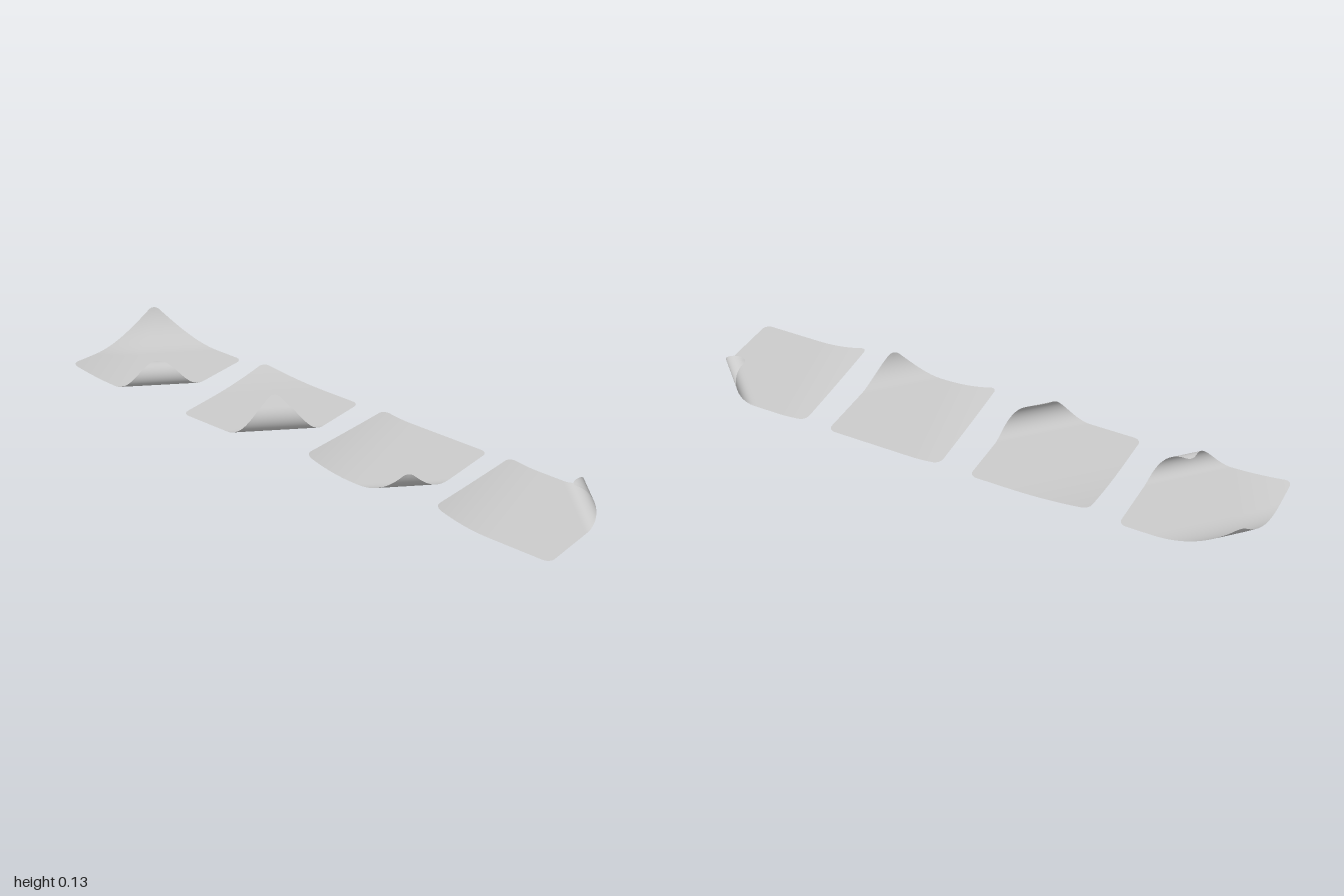
import * as THREE from 'three';

const HALF = 0.213;   // half the side of a sheet
const ROUND = 0.026;  // corner radius
const SEGMENTS = 56;

// A bend rolls the paper upward beyond a line at distance `start` from the
// sheet's centre, along direction (dx, dz), up to `maxAngle`, then runs straight.
function bend(dx, dz, start, radius, maxAngle = Math.PI * 2, stretch = 1) {
  const len = Math.hypot(dx, dz);
  return { dx: dx / len, dz: dz / len, start, radius, maxAngle, stretch };
}

function bendOffset(b, x, z) {
  const d = x * b.dx + z * b.dz - b.start;
  if (d <= 0) return [0, 0, 0];
  const run = d * b.stretch;
  const angle = Math.min(run / b.radius, b.maxAngle);
  const rest = run - angle * b.radius;
  const along = b.radius * Math.sin(angle) + rest * Math.cos(angle) - d;
  const up = b.radius * (1 - Math.cos(angle)) + rest * Math.sin(angle);
  return [along * b.dx, up, along * b.dz];
}

// Square sheet with rounded corners, shaped by its bends
function makeSheet(name, centreX, bends) {
  const geo = new THREE.PlaneGeometry(2 * HALF, 2 * HALF, SEGMENTS, SEGMENTS);
  geo.rotateX(-Math.PI / 2);
  const pos = geo.attributes.position;
  const c = HALF - ROUND;
  for (let i = 0; i < pos.count; i++) {
    let x = pos.getX(i), z = pos.getZ(i);
    // round the corners
    const qx = Math.abs(x) - c, qz = Math.abs(z) - c;
    if (qx > 0 && qz > 0) {
      const k = Math.max(qx, qz) / Math.hypot(qx, qz);
      x = Math.sign(x) * (c + qx * k);
      z = Math.sign(z) * (c + qz * k);
    }
    // curl the corners
    const p = [x, 0, z];
    for (const b of bends) bendOffset(b, x, z).forEach((v, j) => { p[j] += v; });
    pos.setXYZ(i, ...p);
  }
  geo.computeVertexNormals();
  const mesh = new THREE.Mesh(geo, new THREE.MeshStandardMaterial({
    color: 0xcccccc, side: THREE.DoubleSide,
  }));
  mesh.name = name;
  mesh.position.x = centreX;
  return mesh;
}

export function createModel() {
  const group = new THREE.Group();
  group.name = 'paperNotes';
  group.add(
    // tall lifted back corner, rolled front corner
    makeSheet('noteWithTwoCurls', -0.787, [
      bend(1, 1, 0.147, 0.0425),
      bend(-1, -1, 0.08, 0.189),
      bend(-0.9, 0.45, 0.08, 1.0),
    ]),
    // large folded-over front corner
    makeSheet('noteWithTallCurl', -0.258, [
      bend(1, 1, 0.135, 0.055, 2.5, 1.17),
      bend(-1, -1, 0.1, 0.9),
    ]),
    // raised front corner, side edge slightly lifted
    makeSheet('noteWithLiftedCorner', 0.275, [
      bend(1, 1, 0.155, 0.0915),
      bend(-0.98, 0.2, 0.05, 0.57),
    ]),
    // rolled back corner, side edge slightly lifted
    makeSheet('noteWithBackCurl', 0.787, [
      bend(1, -1, 0.147, 0.0425),
      bend(-0.98, 0.2, 0.05, 0.57),
    ]),
  );
  return group;
}
